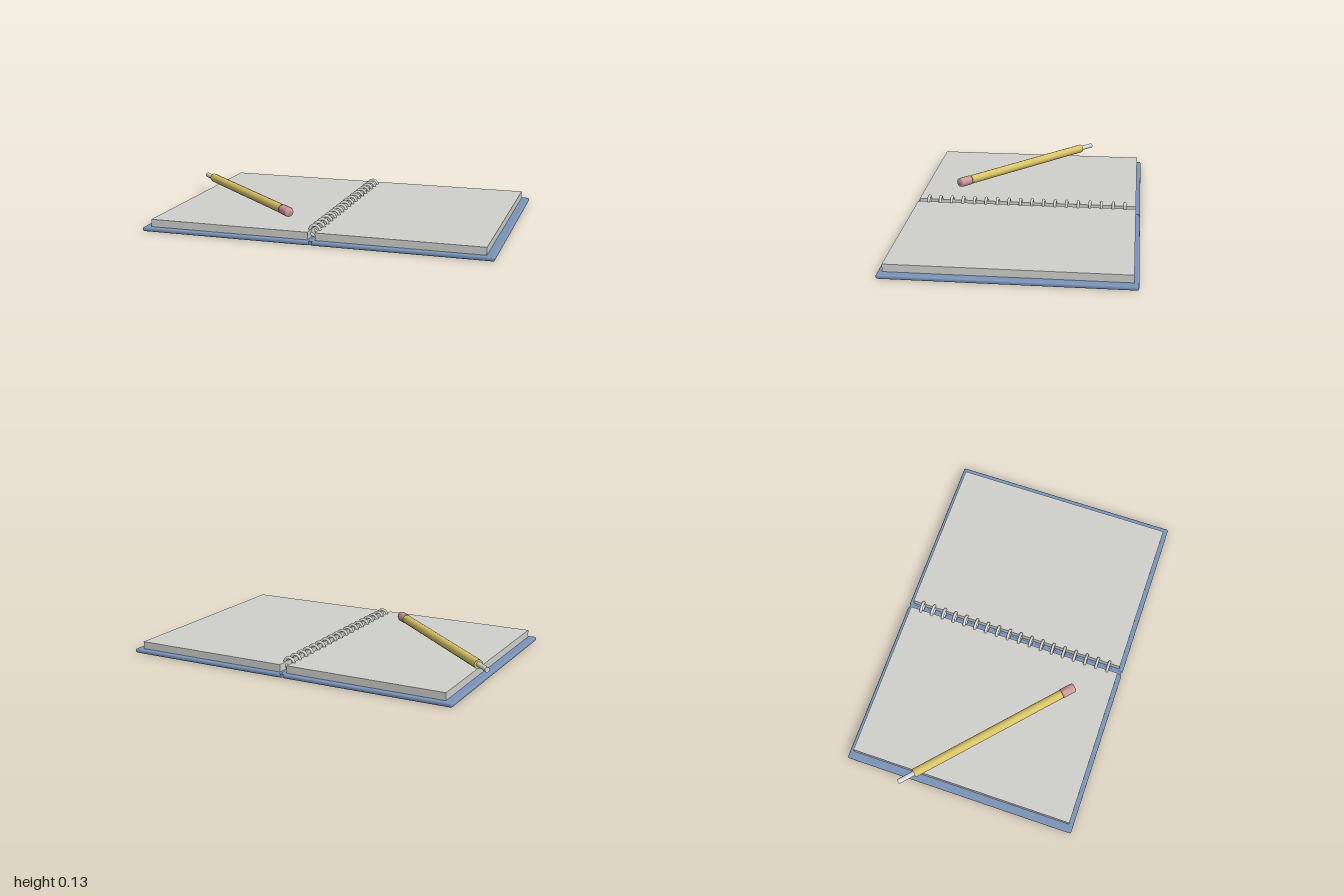
import * as THREE from 'three';
import { RoundedBoxGeometry } from 'three/addons/geometries/RoundedBoxGeometry.js';

const mat = (name, color) => Object.assign(new THREE.MeshStandardMaterial({ color }), { name });

export function createModel() {
  const blue = mat('cover blue', 0x7a94b8);
  const paper = mat('paper grey', 0xd0d0cd);
  const metal = mat('ring grey', 0xdadad7);
  const yellow = mat('pencil yellow', 0xd8c468);
  const pink = mat('eraser pink', 0xd09a9c);

  const model = new THREE.Group();
  model.name = 'notebookAndPencil';
  const add = (parent, name, geometry, material, x, y, z) => {
    const mesh = new THREE.Mesh(geometry, material);
    mesh.name = name;
    mesh.position.set(x, y, z);
    parent.add(mesh);
    return mesh;
  };

  // Open notebook, turned on the table
  const notebook = new THREE.Group();
  notebook.name = 'notebook';
  notebook.rotation.y = 0.215;
  model.add(notebook);

  for (const side of [-1, 1]) {
    const label = side > 0 ? 'left' : 'right';
    add(notebook, label + 'Cover', new RoundedBoxGeometry(0.884, 0.022, 1.208, 3, 0.009),
      blue, side * 0.449, 0.011, 0);
    add(notebook, label + 'Pages', new THREE.BoxGeometry(0.832, 0.04, 1.162),
      paper, side * 0.435, 0.04, 0);
  }
  add(notebook, 'spine', new THREE.BoxGeometry(0.04, 0.018, 1.196), blue, 0, 0.011, 0);

  // Binding rings along the spine
  const ringShape = new THREE.TorusGeometry(0.026, 0.008, 8, 20);
  for (let i = 0; i < 18; i++) {
    add(notebook, 'ring', ringShape, metal, 0, 0.056, -0.523 + i * 1.046 / 17);
  }

  // Pencil lying across the right-hand page; local +x points to the eraser
  const pencil = new THREE.Group();
  pencil.name = 'pencil';
  pencil.position.set(-0.535, 0.1, 0.165);
  pencil.rotation.y = -0.52;
  model.add(pencil);

  const rod = (name, r, from, to, material) => {
    const geometry = new THREE.CylinderGeometry(r, r, to - from, 12);
    geometry.rotateZ(-Math.PI / 2);
    add(pencil, name, geometry, material, (from + to) / 2, 0, 0);
  };
  rod('pencilTip', 0.013, -0.515, -0.42, metal);
  rod('pencilBody', 0.0235, -0.425, 0.435, yellow);

  // Eraser with a softly rounded end
  const profile = [[0, 0], [0.0245, 0], [0.0255, 0.01], [0.0255, 0.066], [0.022, 0.076], [0, 0.078]]
    .map(([r, y]) => new THREE.Vector2(r, y));
  const eraser = new THREE.LatheGeometry(profile, 12);
  eraser.rotateZ(-Math.PI / 2);
  add(pencil, 'eraser', eraser, pink, 0.434, 0, 0);

  return model;
}
